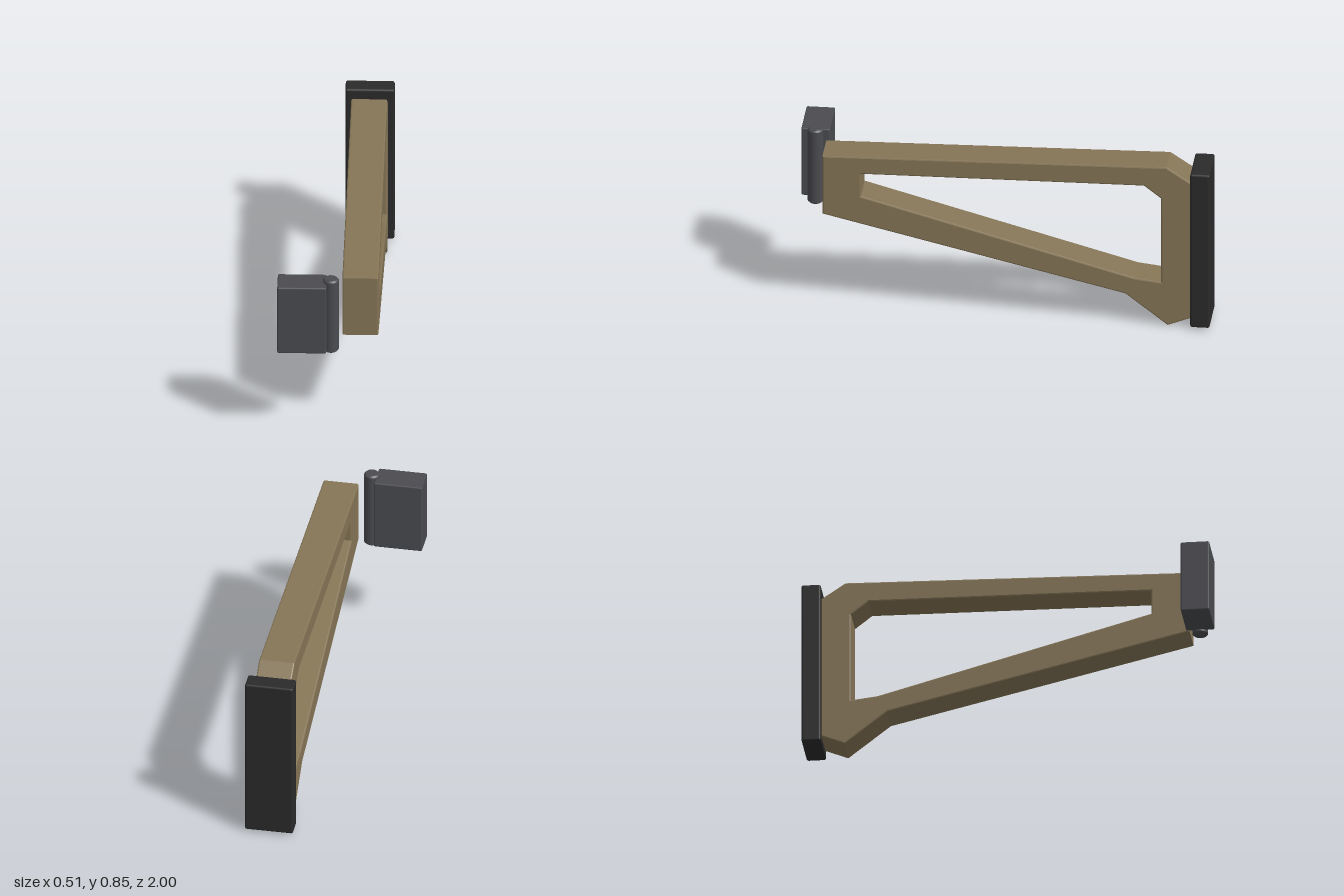
import * as THREE from 'three';
import { RoundedBoxGeometry } from 'three/addons/geometries/RoundedBoxGeometry.js';

const tan = new THREE.MeshStandardMaterial({ color: 0x857556 });
const grey = new THREE.MeshStandardMaterial({ color: 0x4a4b50 });
const black = new THREE.MeshStandardMaterial({ color: 0x2a2a2b });

// Box with softened edges, given by its min and max corners
function softBox(name, min, max, radius, material) {
  const size = max.map((v, i) => v - min[i]);
  const mesh = new THREE.Mesh(new RoundedBoxGeometry(...size, 2, radius), material);
  mesh.position.set(...max.map((v, i) => (v + min[i]) / 2));
  mesh.name = name;
  return mesh;
}

// Side profile points are [z, y]; shape x runs toward the back
const toPoints = (list) => list.map(([z, y]) => new THREE.Vector2(-z, y));

function createFrame() {
  const left = 0.225, right = 0.052, bevel = 0.007;
  const outline = new THREE.Shape(toPoints([
    [0.87, 0.51], [-0.59, 0.163], [-0.795, 0.004], [-0.91, 0.05],
    [-0.91, 0.775], [-0.79, 0.855], [0.87, 0.822],
  ]));
  // Open middle of the skeleton stock
  outline.holes.push(new THREE.Path(toPoints([
    [0.685, 0.735], [-0.68, 0.75], [-0.763, 0.685],
    [-0.763, 0.235], [-0.635, 0.25], [0.685, 0.615],
  ])));
  const geometry = new THREE.ExtrudeGeometry(outline, {
    depth: left - right - 2 * bevel,
    bevelEnabled: true,
    bevelThickness: bevel,
    bevelSize: bevel,
    bevelOffset: -bevel,
    bevelSegments: 2,
  });
  geometry.rotateY(Math.PI / 2);
  geometry.translate(right + bevel, 0, 0);
  const mesh = new THREE.Mesh(geometry, tan);
  mesh.name = 'stockFrame';
  return mesh;
}

// Upright hinge pin with chamfered ends
function createPin() {
  const r = 0.038, c = 0.008, bottom = 0.46, top = 0.855;
  const bevels = [[0, bottom], [r - c, bottom], [r, bottom + c], [r, top - c], [r - c, top], [0, top]];
  // Doubled corners keep the edges crisp
  const profile = bevels.flatMap(([x, y], i) =>
    i > 0 && i < 5 ? [new THREE.Vector2(x, y), new THREE.Vector2(x, y)] : [new THREE.Vector2(x, y)]);
  const geometry = new THREE.LatheGeometry(profile, 32).toNonIndexed();
  geometry.computeVertexNormals();
  const normal = geometry.attributes.normal, pos = geometry.attributes.position;
  // Round the side wall while leaving caps and chamfers flat in profile
  for (let i = 0; i < pos.count; i++) {
    const ny = normal.getY(i);
    const x = pos.getX(i), z = pos.getZ(i), len = Math.hypot(x, z);
    if (Math.abs(ny) < 0.9 && len > 0) {
      const h = Math.sqrt(1 - ny * ny);
      normal.setXYZ(i, (x / len) * h, ny, (z / len) * h);
    }
  }
  const mesh = new THREE.Mesh(geometry, grey);
  mesh.position.set(-0.001, 0, 0.928);
  mesh.name = 'hingePin';
  return mesh;
}

export function createModel() {
  const model = new THREE.Group();
  model.name = 'foldingStock';
  model.add(
    createFrame(),
    softBox('buttPad', [0.021, 0.015, -1], [0.256, 0.84, -0.906], 0.01, black),
    softBox('hingeBlock', [-0.257, 0.477, 0.862], [-0.022, 0.839, 1], 0.007, grey),
    createPin(),
  );
  return model;
}
